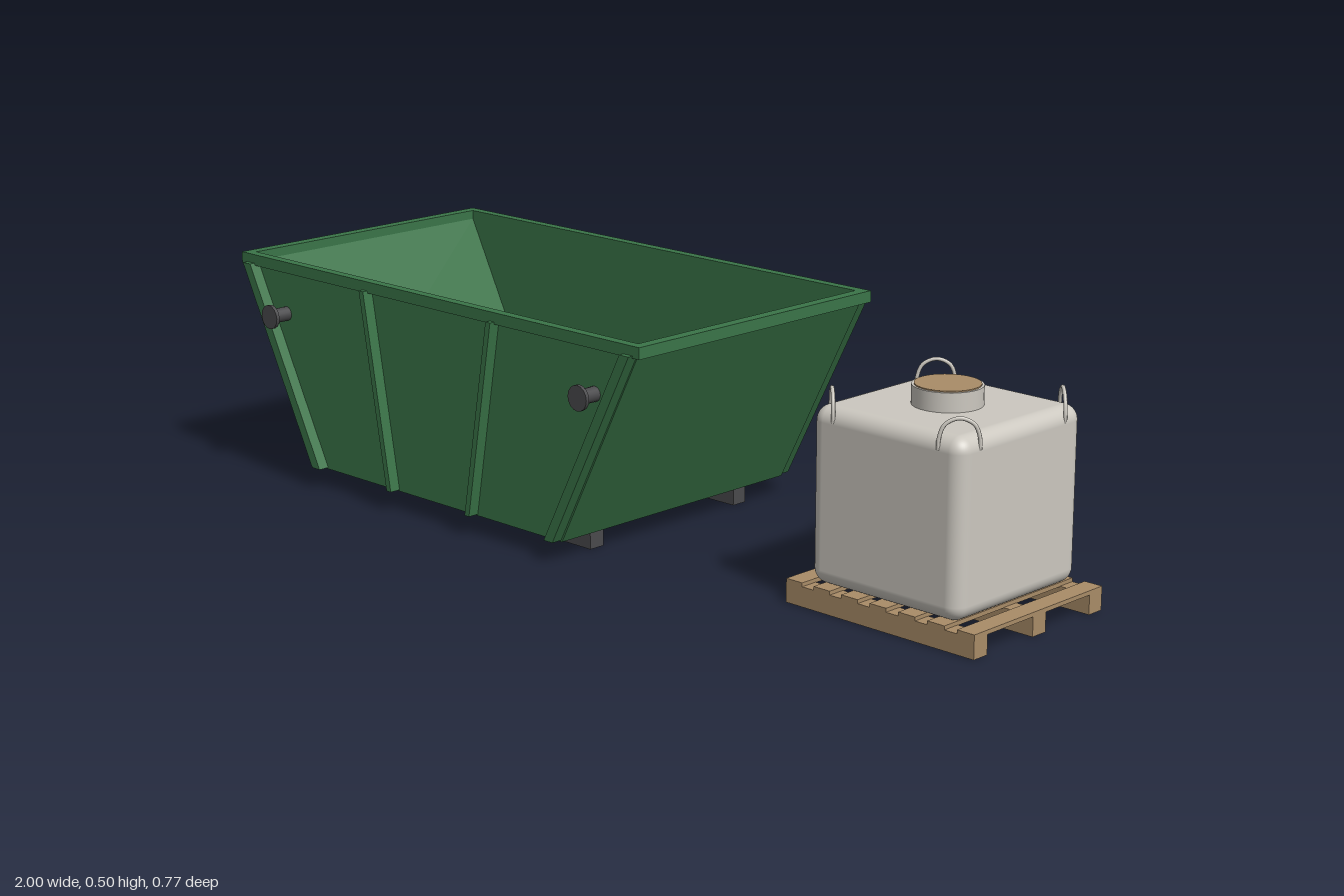
import * as THREE from 'three';
import { RoundedBoxGeometry } from 'three/addons/geometries/RoundedBoxGeometry.js';

const mat = (name, color) => Object.assign(new THREE.MeshStandardMaterial({ color }), { name });

export function createModel() {
  const green = mat('skipGreen', 0x3a7548);
  const dark = mat('darkSteel', 0x4a4a4c);
  const cream = mat('tankCream', 0xccc8c0);
  const wood = mat('palletWood', 0xa98c68);
  const root = new THREE.Group();

  const add = (parent, name, geo, m, x = 0, y = 0, z = 0) => {
    const mesh = new THREE.Mesh(geo, m);
    mesh.name = name;
    mesh.position.set(x, y, z);
    parent.add(mesh);
    return mesh;
  };
  const box = (parent, name, m, w, h, d, x, y, z) =>
    add(parent, name, new THREE.BoxGeometry(w, h, d), m, x, y, z);
  const polygon = (pts) => new THREE.Shape(pts.map(([x, y]) => new THREE.Vector2(x, y)));
  const extrude = (shape, depth) => new THREE.ExtrudeGeometry(shape, { depth, bevelEnabled: false });

  // ---- Skip: centred on its own x, moved into place as a group
  const skip = new THREE.Group();
  skip.name = 'skip';
  skip.position.x = -0.3675;
  root.add(skip);

  // Open tub lofted through rectangular rings: outside bottom, outside top, inside top, inside bottom
  const rings = [[0.393, 0.043, 0.335], [0.617, 0.48, 0.335], [0.607, 0.48, 0.326], [0.387, 0.052, 0.326]]
    .map(([x, y, z]) => [[-x, y, z], [x, y, z], [x, y, -z], [-x, y, -z]]);
  const tub = [];
  const quad = (a, b, c, d) => tub.push(...a, ...b, ...c, ...a, ...c, ...d);
  for (let r = 0; r < 3; r++) {
    for (let i = 0; i < 4; i++) {
      const j = (i + 1) % 4;
      quad(rings[r][i], rings[r][j], rings[r + 1][j], rings[r + 1][i]);
    }
  }
  quad(...rings[3]);
  quad(...[...rings[0]].reverse());
  const tubGeo = new THREE.BufferGeometry();
  tubGeo.setAttribute('position', new THREE.Float32BufferAttribute(tub, 3));
  tubGeo.computeVertexNormals();
  add(skip, 'tub', tubGeo, green);

  // Rim frame around the opening
  const rect = (x, z) => [[-x, -z], [x, -z], [x, z], [-x, z]];
  const frame = polygon(rect(0.632, 0.348));
  frame.holes.push(polygon(rect(0.607, 0.326)));
  add(skip, 'rim', extrude(frame, 0.025).rotateX(-Math.PI / 2), green, 0, 0.475, 0);

  for (const s of [-1, 1]) {
    // Side ribs: a pair along the sloping ends and a pair between them
    const ribZ = s > 0 ? 0.334 : -0.36;
    for (const m of [-1, 1]) {
      const rib = (x0, x1, w) => {
        const pts = [[m * x0, 0.046], [m * (x0 + w), 0.046], [m * (x1 + w), 0.48], [m * x1, 0.48]];
        add(skip, 'sideRib', extrude(polygon(pts), 0.026), green, 0, 0, ribZ);
      };
      rib(0.364, 0.588, 0.026);
      rib(0.12, 0.196, 0.014);
      // Lifting pins with end caps
      const pin = (name, r, z0, z1) => add(skip, name,
        new THREE.CylinderGeometry(r, r, z1 - z0, 16).rotateX(Math.PI / 2),
        dark, m * 0.493, 0.378, s * (z0 + z1) / 2);
      pin('liftingPin', 0.016, 0.33, 0.378);
      pin('liftingPinCap', 0.027, 0.377, 0.385);
    }
    box(skip, 'skid', dark, 0.75, 0.043, 0.038, 0, 0.0215, s * 0.218);
  }

  // ---- Pallet
  const pallet = new THREE.Group();
  pallet.name = 'pallet';
  pallet.position.x = 0.762;
  root.add(pallet);
  for (const z of [-0.179, 0, 0.179]) box(pallet, 'runner', wood, 0.474, 0.042, 0.04, 0, 0.021, z);
  for (let i = -3; i <= 3; i++) box(pallet, 'deckBoard', wood, 0.042, 0.009, 0.398, i * 0.072, 0.0455, 0);

  // ---- Tank
  const tank = new THREE.Group();
  tank.name = 'tank';
  tank.position.x = 0.76;
  root.add(tank);
  add(tank, 'tankBody', new RoundedBoxGeometry(0.376, 0.364, 0.376, 5, 0.032), cream, 0, 0.232, 0);
  add(tank, 'neck', new THREE.CylinderGeometry(0.071, 0.071, 0.045, 40), cream, 0, 0.431, 0);
  add(tank, 'lid', new THREE.CylinderGeometry(0.066, 0.066, 0.005, 40), wood, 0, 0.4535, 0);

  // Lifting loops set diagonally across the four corners
  const loopPath = new THREE.CatmullRomCurve3(
    [[-0.039, -0.02], [-0.039, 0], [-0.028, 0.029], [0, 0.041], [0.028, 0.029], [0.039, 0], [0.039, -0.02]]
      .map(([x, y]) => new THREE.Vector3(x, y, 0)));
  for (const sx of [-1, 1]) for (const sz of [-1, 1]) {
    const loop = add(tank, 'liftingLoop', new THREE.TubeGeometry(loopPath, 28, 0.004, 8), cream,
      sx * 0.158, 0.405, sz * 0.158);
    loop.rotation.y = sx * sz * Math.PI / 4;
  }
  return root;
}
